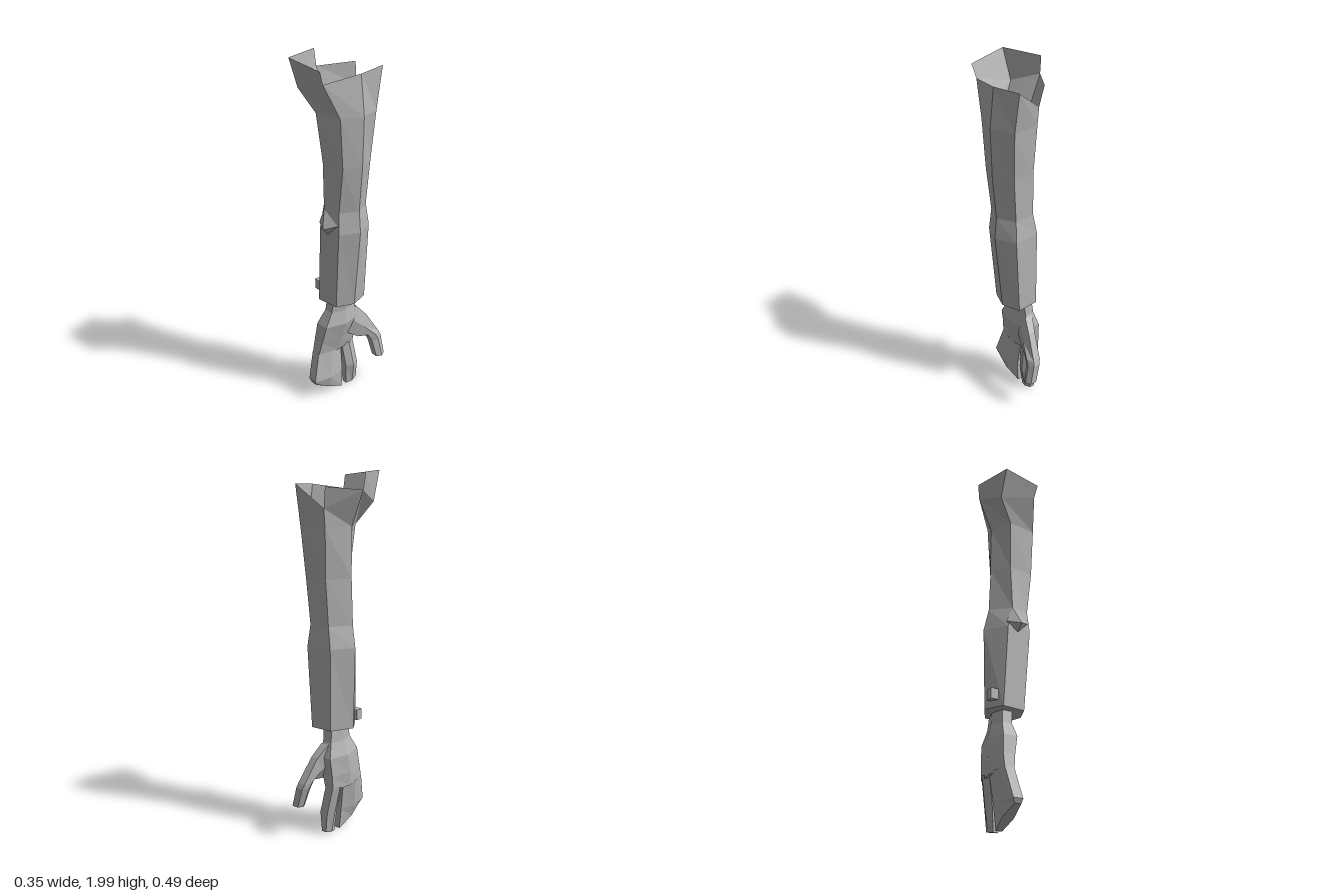
import * as THREE from 'three';

const grey = new THREE.MeshStandardMaterial({ color: 0xb4b4b4, side: THREE.DoubleSide });
grey.name = 'grey';

// Flat-shaded mesh from a list of triangles, each made of three points
function facets(name, triangles) {
  const geometry = new THREE.BufferGeometry();
  geometry.setAttribute('position', new THREE.Float32BufferAttribute(triangles.flat(2), 3));
  geometry.computeVertexNormals();
  const mesh = new THREE.Mesh(geometry, grey);
  mesh.name = name;
  return mesh;
}

// Triangles between an upper and a lower row of points
function strip(upper, lower, closed) {
  const out = [], n = upper.length;
  for (let i = 0; i < (closed ? n : n - 1); i++) {
    const j = (i + 1) % n;
    out.push([upper[i], lower[i], lower[j]], [upper[i], lower[j], upper[j]]);
  }
  return out;
}

// Tube through closed rings from top to bottom, with an optional end cap
function loft(rings, cap) {
  const out = [];
  for (let k = 0; k + 1 < rings.length; k++) out.push(...strip(rings[k], rings[k + 1], true));
  if (cap) {
    const end = rings[rings.length - 1];
    for (let i = 1; i + 1 < end.length; i++) out.push([end[0], end[i + 1], end[i]]);
  }
  return out;
}

// Six-sided hand section: front and back edge (z, y) and inner and outer x
function section([zF, yF, zB, yB, x0, x1]) {
  const zm = (zF + zB) / 2, ym = (yF + yB) / 2, inset = (x1 - x0) * 0.22;
  return [
    [x1, ym, zm], [x1 - inset, yB, zB], [x0 + inset, yB, zB],
    [x0, ym, zm], [x0 + inset, yF, zF], [x1 - inset, yF, zF],
  ];
}
const limb = (name, rows) => facets(name, loft(rows.map(section), true));

export function createModel() {
  const group = new THREE.Group();
  group.name = 'arm';

  // Sleeve: ragged shoulder rim, then hexagonal rings down to the cuff
  const rim = [
    [0.15, 1.93, 0], [0.125, 1.94, -0.165], [-0.03, 1.82, -0.125],
    [-0.165, 1.91, 0.025], [-0.11, 1.84, 0.19], [0.1, 1.9, 0.2],
  ];
  const ring = (y, ...xz) => xz.map(([x, z]) => [x, y, z]);
  const rings = [
    rim,
    ring(1.72, [0.175, 0], [0.125, -0.128], [-0.03, -0.115], [-0.09, 0.03], [-0.025, 0.145], [0.135, 0.12]),
    ring(1.45, [0.167, 0], [0.11, -0.105], [-0.02, -0.1], [-0.09, 0.03], [-0.01, 0.115], [0.13, 0.1]),
    ring(1.2, [0.145, 0], [0.09, -0.095], [-0.03, -0.09], [-0.1, 0.03], [0, 0.118], [0.1, 0.1]),
    ring(1.08, [0.157, 0], [0.1, -0.11], [-0.05, -0.1], [-0.125, 0.02], [-0.03, 0.122], [0.11, 0.11]),
    ring(0.625, [0.112, 0], [0.075, -0.105], [-0.05, -0.1], [-0.115, 0.02], [-0.055, 0.115], [0.075, 0.1]),
    ring(0.62, [0.035, 0], [0.015, -0.075], [-0.035, -0.075], [-0.055, 0], [-0.035, 0.07], [0.015, 0.07]),
  ];
  group.add(facets('sleeve', loft(rings, false)));

  // Raised flap at the front of the shoulder and the small peak behind it
  const flapTop = [[-0.175, 2, 0.03], [-0.105, 2, 0.245], [0.11, 1.97, 0.225]];
  group.add(facets('shoulderFlap', strip(flapTop, rim.slice(3), false)));
  group.add(facets('shoulderPeak', [[rim[2], rim[3], [-0.05, 1.93, -0.14]]]));

  // Folded cloth at the elbow
  const peak = [0.035, 1.1, 0.157];
  const base = [[0, 1.2, 0.117], [-0.04, 1.11, 0.118], [0.03, 1.06, 0.118], [0.105, 1.13, 0.103]];
  group.add(facets('elbowFold', base.map((p, i) => [peak, p, base[(i + 1) % 4]])));

  // Cuff button on the outer side
  const button = new THREE.Mesh(new THREE.BoxGeometry(0.05, 0.058, 0.04), grey);
  button.name = 'cuffButton';
  button.position.set(-0.091, 0.692, 0.072);
  group.add(button);

  // Hand
  group.add(limb('palm', [
    [0.07, 0.625, -0.075, 0.625, -0.06, 0.04],
    [0.08, 0.55, -0.085, 0.55, -0.065, 0.035],
    [0.125, 0.47, -0.115, 0.47, -0.092, 0.05],
    [0.138, 0.37, -0.105, 0.36, -0.095, 0.025],
    [0.155, 0.28, -0.1, 0.28, -0.09, 0.005],
  ]));
  group.add(limb('fingers', [
    [0.155, 0.29, -0.01, 0.29, -0.09, 0.005],
    [0.2, 0.13, -0.003, 0.13, -0.07, 0.028],
    [0.19, 0.105, -0.003, 0.01, -0.05, 0.015],
  ]));
  group.add(limb('indexFinger', [
    [-0.015, 0.3, -0.1, 0.29, -0.085, 0.005],
    [-0.03, 0.14, -0.115, 0.14, -0.06, 0.03],
    [-0.04, 0.01, -0.115, 0.025, -0.04, 0.01],
  ]));
  group.add(limb('thumb', [
    [-0.03, 0.38, -0.09, 0.54, -0.05, 0.04],
    [-0.09, 0.34, -0.15, 0.47, -0.015, 0.06],
    [-0.145, 0.34, -0.228, 0.335, 0.01, 0.09],
    [-0.172, 0.29, -0.238, 0.31, 0.02, 0.095],
    [-0.185, 0.19, -0.243, 0.195, 0.05, 0.12],
  ]));
  return group;
}
